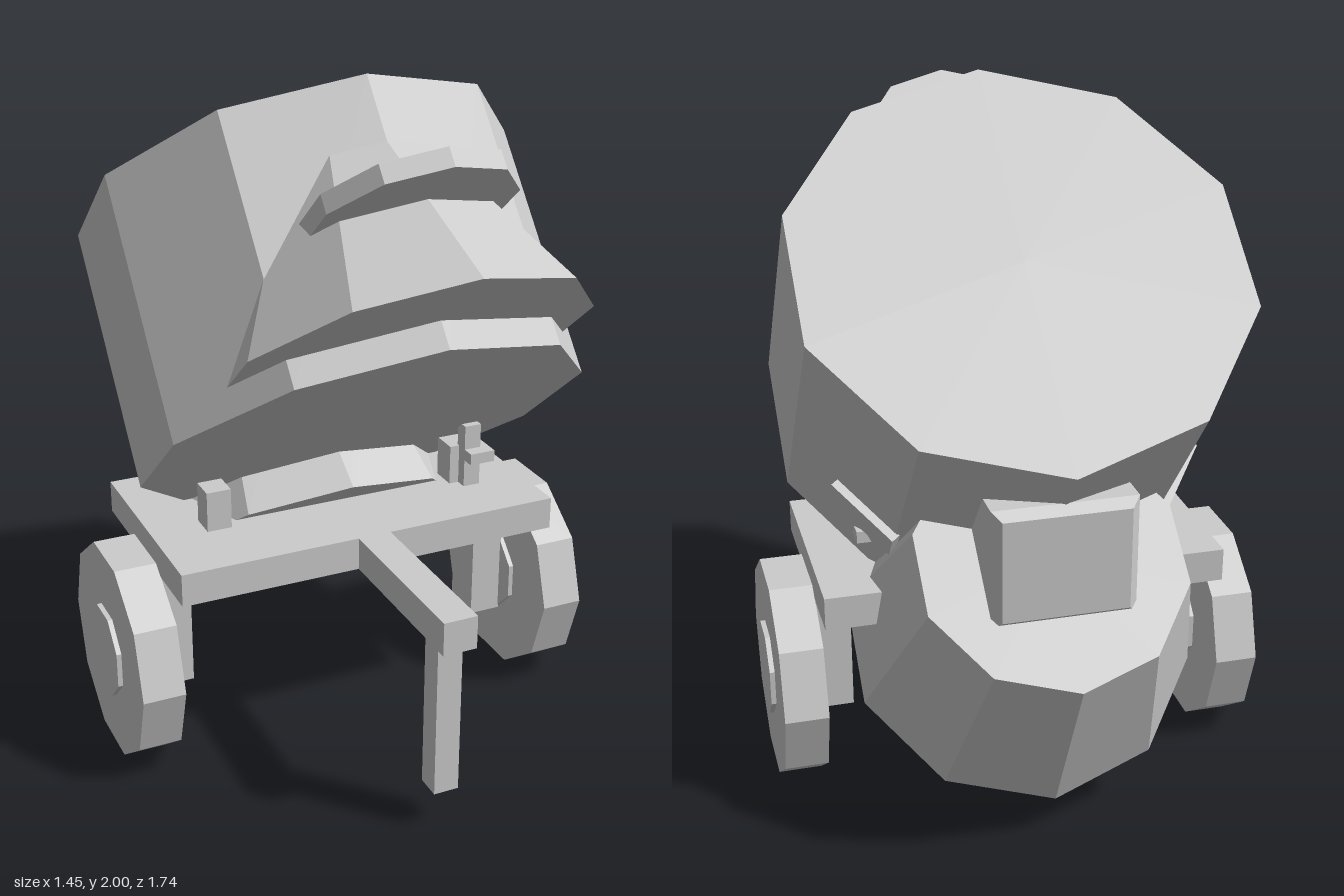
import * as THREE from 'three';

export function createModel() {
  const grey = new THREE.MeshStandardMaterial({ color: 0xcccccc, flatShading: true });
  grey.name = 'plain grey';
  const model = new THREE.Group();
  model.name = 'mixerCart';

  function add(parent, name, geometry, x = 0, y = 0, z = 0) {
    const mesh = new THREE.Mesh(geometry, grey);
    mesh.name = name;
    mesh.position.set(x, y, z);
    parent.add(mesh);
    return mesh;
  }
  // Box given by its two extreme corners
  function block(parent, name, [x0, y0, z0], [x1, y1, z1]) {
    return add(parent, name, new THREE.BoxGeometry(x1 - x0, y1 - y0, z1 - z0),
      (x0 + x1) / 2, (y0 + y1) / 2, (z0 + z1) / 2);
  }
  // Ten-sided upright frustum between two heights
  function frustum(parent, name, rTop, rBottom, yTop, yBottom, z) {
    return add(parent, name, new THREE.CylinderGeometry(rTop, rBottom, yTop - yBottom, 10),
      0, (yTop + yBottom) / 2, z);
  }

  // Tilted assembly: origin at the centre of the drum's upper cap, +y along its axis
  const tilted = new THREE.Group();
  tilted.name = 'tiltedBody';
  tilted.position.set(0, 1.583, -0.281);
  tilted.rotation.x = -0.695;
  model.add(tilted);
  frustum(tilted, 'drum', 0.649, 0.649, 0, -0.775, 0);
  frustum(tilted, 'rearTub', 0.38, 0.51, -0.38, -0.895, -0.698);
  frustum(tilted, 'flaredVisor', 0.17, 0.52, -0.05, -0.695, 0.4);
  frustum(tilted, 'visorDisc', 0.284, 0.284, -0.362, -0.417, 0.665);
  for (const side of [-1, 1]) {
    const pad = add(tilted, 'drumPad', new THREE.BoxGeometry(0.235, 0.09, 0.05), side * 0.445, -0.54, -0.436);
    pad.rotation.y = side * THREE.MathUtils.degToRad(126);
  }

  // Bevelled box on the back of the tub
  const b = 0.025, w = 0.2 - b, h = 0.17 - b;
  const outline = new THREE.Shape([
    new THREE.Vector2(-w, -h), new THREE.Vector2(w, -h),
    new THREE.Vector2(w, h), new THREE.Vector2(-w, h),
  ]);
  const boxGeometry = new THREE.ExtrudeGeometry(outline, {
    depth: 0.2, bevelEnabled: true, bevelSegments: 1, bevelThickness: b, bevelSize: b,
  });
  add(model, 'rearBox', boxGeometry, 0, 0.89, -0.71 + b);

  // Chassis
  block(model, 'platform', [-0.585, 0.59, -0.355], [0.585, 0.688, 0.295]);
  block(model, 'towBar', [-0.05, 0.59, 0.29], [0.05, 0.688, 0.817]);
  block(model, 'frontLeg', [-0.037, 0.117, 0.69], [0.037, 0.6, 0.764]);

  // Wheels, their hubs, struts and the small posts
  for (const side of [-1, 1]) {
    const wheel = new THREE.Group();
    wheel.name = side > 0 ? 'leftWheel' : 'rightWheel';
    wheel.position.set(side * 0.647, 0.308, -0.03);
    model.add(wheel);
    const tyre = new THREE.CylinderGeometry(0.324, 0.324, 0.126, 10);
    tyre.rotateY(Math.PI / 2).rotateZ(Math.PI / 2).rotateX(Math.PI / 2);
    // Turn the decagon so a flat rests on the ground
    tyre.computeBoundingBox();
    if (tyre.boundingBox.max.y > 0.315) tyre.rotateX(Math.PI / 10);
    add(wheel, 'tyre', tyre);
    const hub = new THREE.CylinderGeometry(0.138, 0.138, 0.155, 8, 1, false, Math.PI / 8);
    hub.rotateZ(Math.PI / 2);
    add(wheel, 'hub', hub);

    const strut = block(model, 'wheelStrut', [-0.05, 0.183, -0.095], [0.05, 0.6, 0.035]);
    strut.position.x = side * 0.522;
    const post = block(model, 'post', [-0.037, 0.68, 0.0], [0.037, 0.81, 0.08]);
    post.position.x = side * 0.392;
  }

  // Control lever with its flat bar
  block(model, 'lever', [0.385, 0.68, 0.07], [0.438, 0.885, 0.115]);
  block(model, 'leverBar', [0.385, 0.775, -0.215], [0.465, 0.81, 0.155]);

  return model;
}
